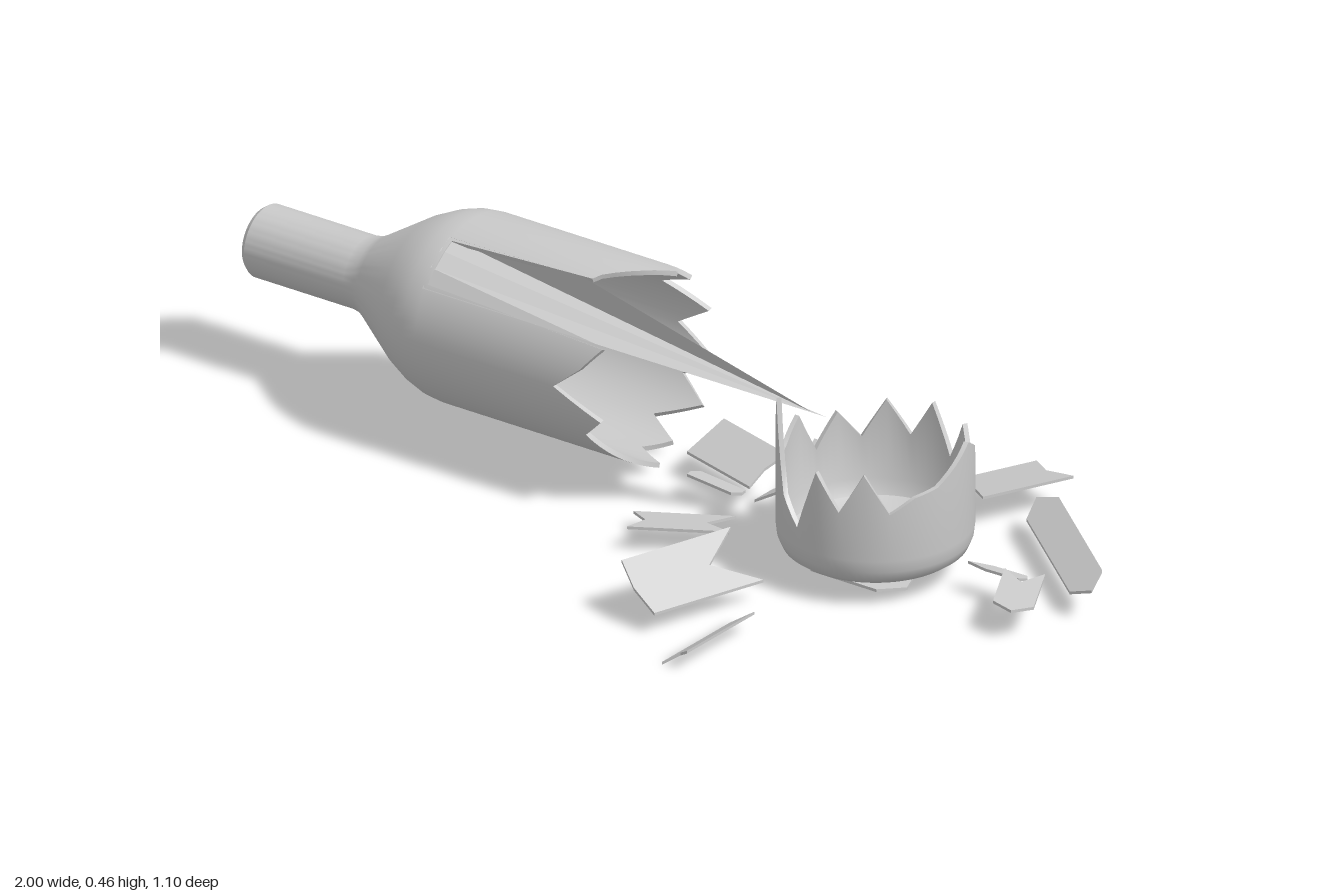
import * as THREE from 'three';
import { toCreasedNormals } from 'three/addons/utils/BufferGeometryUtils.js';

const glass = new THREE.MeshStandardMaterial({ color: 0xcccccc, side: THREE.DoubleSide });
const R = 0.195;
const EDGE = 9; // marks profile points that follow the broken edge

// Value of an evenly spaced, closed list at an angle in degrees
function sample(list, deg) {
  const t = ((((deg % 360) + 360) % 360) / 360) * list.length;
  const i = Math.floor(t + 1e-4);
  return THREE.MathUtils.lerp(list[i % list.length], list[(i + 1) % list.length], t - i);
}

// Lathe whose marked points are moved to a jagged edge
function brokenLathe(profile, edgeAt) {
  const g = new THREE.LatheGeometry(profile.map(([r, y]) => new THREE.Vector2(r, y)), 72);
  const p = g.attributes.position;
  for (let i = 0; i < p.count; i++) {
    if (p.getY(i) < EDGE - 1) continue;
    p.setY(i, edgeAt(THREE.MathUtils.radToDeg(Math.atan2(p.getZ(i), p.getX(i)))));
  }
  return g;
}

function add(group, name, geometry) {
  const mesh = new THREE.Mesh(geometry, glass);
  mesh.name = name;
  group.add(mesh);
}

// Lying neck and body; edge angles run from the front upwards
const bodyEdge = [-0.15, -0.09, -0.05, -0.1, -0.17, -0.14, -0.08, -0.03, -0.09, -0.06, -0.15, -0.05,
  -0.13, -0.05, -0.1, -0.03, -0.12, -0.04, -0.08, 0, -0.03, -0.06, -0.09, -0.04];
const AXIS_Y = 0.267, AXIS_Z = -0.082;

function onBody(x, deg) {
  const a = THREE.MathUtils.degToRad(deg);
  return [x, AXIS_Y + R * Math.sin(a), AXIS_Z + R * Math.cos(a)];
}

function buildBody(group) {
  const profile = [[0.055, -0.99], [0.062, -1], [0.068, -1], [0.075, -0.99], [0.075, -0.75], [0.079, -0.725],
    [0.09, -0.705], [0.158, -0.6], [0.18, -0.555], [0.191, -0.52], [R, -0.485], [R, EDGE],
    [R - 0.01, EDGE], [R - 0.01, -0.485], [0.17, -0.55], [0.08, -0.69], [0.057, -0.74], [0.055, -0.99]];
  const g = brokenLathe(profile, (a) => {
    const deg = (a + 270) % 360;
    return deg > 34 && deg < 66 ? -0.48 : sample(bodyEdge, deg);
  });
  g.rotateZ(-Math.PI / 2);
  g.translate(0, AXIS_Y, AXIS_Z);
  add(group, 'bottleBody', toCreasedNormals(g, 0.6));
}

// Long splinter reaching from the shoulder towards the base
function buildSplinter(group) {
  const low = [32, 45, 57, 67].map((d) => onBody(-0.49, d));
  const high = [onBody(-0.07, 32), [0.37, 0.275, -0.08], [0.34, 0.282, -0.07], onBody(-0.17, 69)];
  const pts = [];
  for (let i = 0; i < 3; i++) {
    pts.push(...low[i], ...high[i], ...low[i + 1], ...low[i + 1], ...high[i], ...high[i + 1]);
  }
  const g = new THREE.BufferGeometry();
  g.setAttribute('position', new THREE.Float32BufferAttribute(pts, 3));
  g.computeVertexNormals();
  add(group, 'longSplinter', g);
}

// Upright base; edge angles run from the model's left towards the front
const baseEdge = [0.28, 0.25, 0.24, 0.21, 0.295, 0.21, 0.285, 0.15, 0.2, 0.385, 0.22, 0.24,
  0.28, 0.19, 0.26, 0.2, 0.28, 0.21, 0.29, 0.19, 0.28, 0.17, 0.28, 0.31];

function buildBase(group) {
  const profile = [[0, 0.06], [0.1, 0.055], [0.14, 0.047], [0.165, 0.051], [0.183, 0.064], [0.192, 0.085],
    [R, 0.11], [R, EDGE], [R - 0.01, EDGE], [R - 0.01, 0.11], [0.172, 0.08], [0.14, 0.064], [0, 0.07]];
  const g = brokenLathe(profile, (a) => sample(baseEdge, a));
  g.translate(0.515, 0, -0.045);
  add(group, 'bottleBase', toCreasedNormals(g, 0.6));
}

// A loose shard: a strip whose two ends are notched or pointed by moving
// their middles, rolled about its length and turned to a heading
function buildShard(group, x, y, z, heading, length, width, start, end, roll) {
  const l = length / 2, w = width / 2;
  const outline = [[-l, -w], [start - l, 0], [-l, w], [l, w], [l + end, 0], [l, -w]];
  const shape = new THREE.Shape(outline.map(([u, v]) => new THREE.Vector2(u, v)));
  const g = new THREE.ExtrudeGeometry(shape, { depth: 0.006, bevelEnabled: false });
  g.rotateX(Math.PI / 2);
  const p = g.attributes.position;
  for (let i = 0; i < p.count; i++) p.setY(i, p.getY(i) + 0.003 + roll * p.getZ(i));
  g.rotateY(-THREE.MathUtils.degToRad(heading));
  g.translate(x, y, z);
  g.computeVertexNormals();
  add(group, 'shard', g);
}

function buildShards(group) {
  // Between body and base
  buildShard(group, 0.085, 0.08, -0.17, 16, 0.2, 0.09, 0, -0.01, -0.5);
  buildShard(group, 0.095, 0.05, -0.09, 8, 0.12, 0.04, -0.01, 0.01, 0.2);
  buildShard(group, 0.25, 0.08, -0.09, 90, 0.06, 0.08, 0, 0, -0.6);
  // Behind the base
  buildShard(group, 0.22, 0.06, -0.28, 67, 0.22, 0.1, 0.04, 0.02, -0.2);
  buildShard(group, 0.325, 0.06, -0.375, 85, 0.2, 0.04, 0, 0.02, -0.8);
  buildShard(group, 0.555, 0.058, -0.43, 115, 0.2, 0.15, 0.02, -0.02, -0.2);
  // On the model's left
  buildShard(group, 0.832, 0.07, -0.235, 39, 0.34, 0.065, -0.05, 0.045, -0.6);
  buildShard(group, 0.875, 0.068, -0.03, 62, 0.15, 0.08, 0.05, 0.03, 0.1);
  buildShard(group, 0.81, 0.065, -0.075, -2, 0.08, 0.03, -0.05, 0.01, 0.2);
  // In front and under the base
  buildShard(group, 0.14, 0.045, 0.085, -30, 0.2, 0.11, 0.03, -0.05, 0.17);
  buildShard(group, 0.335, 0.082, 0.31, -72, 0.26, 0.11, -0.01, -0.09, -0.65);
  buildShard(group, 0.47, 0.026, 0.44, 90, 0.22, 0.06, 0, -0.02, -0.68);
  buildShard(group, 0.53, 0.02, 0.02, 0, 0.16, 0.12, -0.04, 0.03, 0.17);
}

export function createModel() {
  const group = new THREE.Group();
  group.name = 'brokenBottle';
  buildBody(group);
  buildSplinter(group);
  buildBase(group);
  buildShards(group);
  return group;
}
